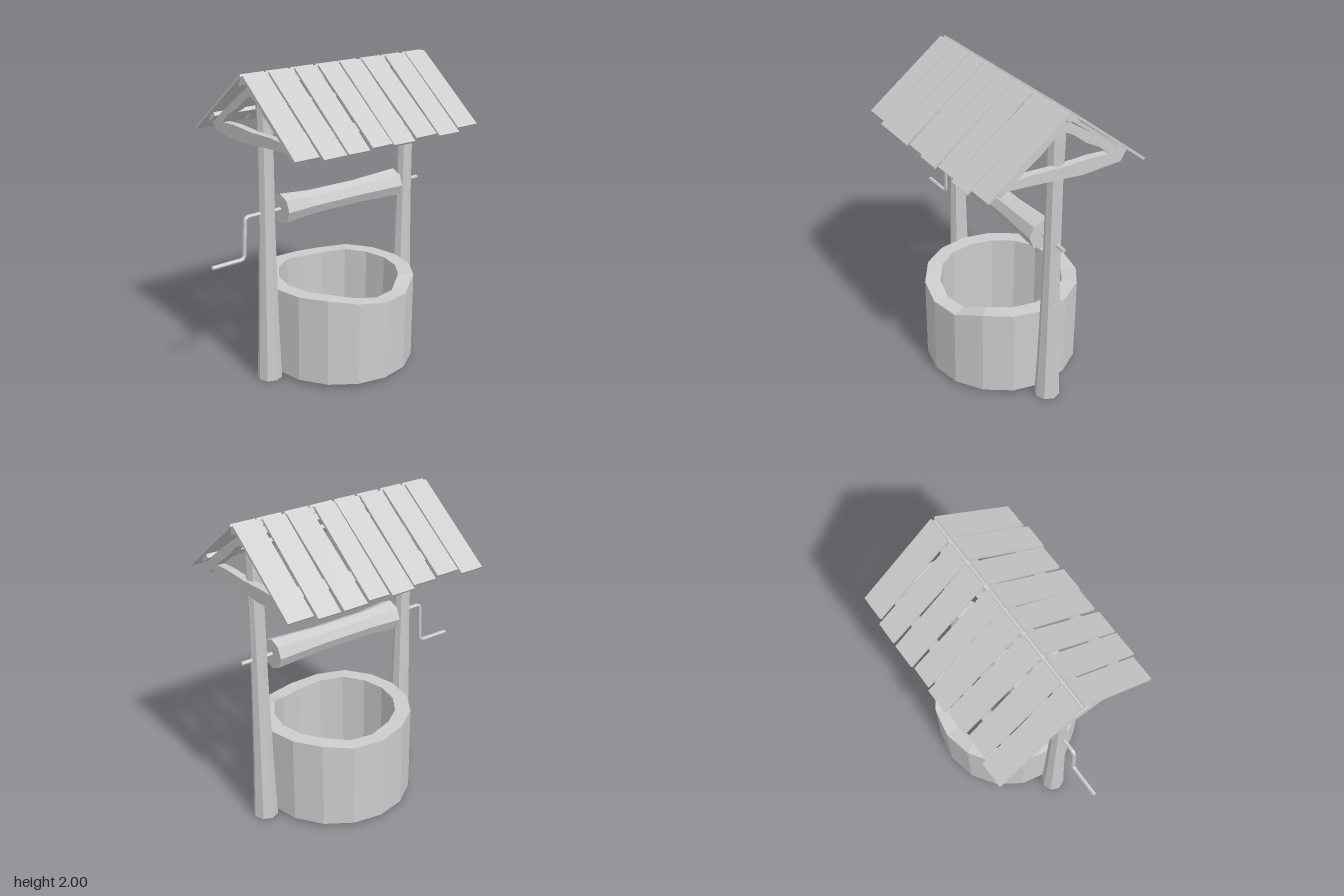
import * as THREE from 'three';

const mat = new THREE.MeshStandardMaterial({ color: 0xcccccc, flatShading: true });
const CX = 0.13; // middle of the well along x

function add(parent, name, geo, x = 0, y = 0, z = 0) {
  const m = new THREE.Mesh(geo, mat);
  m.name = name;
  m.position.set(x, y, z);
  parent.add(m);
  return m;
}

// Solid of revolution from [radius, height] pairs, bottom to top
const lathe = (pts, sides) =>
  new THREE.LatheGeometry(pts.map(([r, y]) => new THREE.Vector2(r, y)), sides);

// Flat timber outlined in (z, y), with thickness along x, starting at x = 0 going to -depth
function timber(pts, depth) {
  const shape = new THREE.Shape(pts.map(([z, y]) => new THREE.Vector2(z, y)));
  return new THREE.ExtrudeGeometry(shape, { depth, bevelEnabled: false }).rotateY(-Math.PI / 2);
}

// Stone ring with a worn, uneven rim
function wellWall() {
  const geo = lathe([[0.4, 0.02], [0.5, 0.02], [0.5, 0.6], [0.4, 0.6], [0.4, 0.02]], 16);
  const dips = { 0: 0.05, 1: 0.05, 15: 0.025, 7: 0.02, 8: 0.02 };
  const p = geo.attributes.position;
  for (let i = 0; i < p.count; i++) {
    if (p.getY(i) < 0.5) continue;
    const seg = (Math.round(Math.atan2(p.getX(i), p.getZ(i)) / (Math.PI / 8)) + 16) % 16;
    p.setY(i, 0.6 - (dips[seg] || 0));
  }
  return geo;
}

// Axle that bends down into the crank handle
function crank() {
  const path = new THREE.CurvePath();
  const V = (x, y) => new THREE.Vector3(x, y, 0);
  path.add(new THREE.LineCurve3(V(0.81, 1.13), V(-0.56, 1.13)));
  path.add(new THREE.QuadraticBezierCurve3(V(-0.56, 1.13), V(-0.587, 1.13), V(-0.59, 1.1)));
  path.add(new THREE.LineCurve3(V(-0.59, 1.1), V(-0.6, 0.89)));
  path.add(new THREE.QuadraticBezierCurve3(V(-0.6, 0.89), V(-0.602, 0.86), V(-0.63, 0.86)));
  path.add(new THREE.LineCurve3(V(-0.63, 0.86), V(-0.83, 0.857)));
  return new THREE.TubeGeometry(path, 140, 0.013, 6, false);
}

// One roof slope: side = 1 is the front, -1 the back
function roofSlope(side, planks) {
  const slope = new THREE.Group();
  const angle = Math.atan2(0.415, 0.535);
  slope.name = side > 0 ? 'frontRoofSlope' : 'backRoofSlope';
  slope.position.set(0, 2, 0.015 * side);
  slope.rotation.x = side * angle;
  planks.forEach(([x0, x1, eave], i) => {
    const len = (eave - 0.015) / Math.cos(angle);
    const plank = add(slope, 'roofPlank', new THREE.BoxGeometry(x1 - x0, 0.016, len),
      (x0 + x1) / 2, -0.008, side * len / 2);
    plank.rotation.y = [0, 0.005, -0.01, 0.006, -0.008, 0.012, -0.01, 0][i];
  });
  // Battens under the planks
  for (const [d, w] of [[0.06, 0.045], [0.49, 0.07]])
    add(slope, 'roofBatten', new THREE.BoxGeometry(1.36, 0.026, w), 0.115, -0.029, side * d);
  return slope;
}

export function createModel() {
  const well = new THREE.Group();
  well.name = 'well';

  add(well, 'wellWall', wellWall(), CX);

  // Posts, flared at the foot
  const postGeo = lathe([[0, 0], [0.08, 0], [0.066, 0.4], [0.053, 1], [0.05, 1.5], [0.056, 1.94], [0, 1.94]], 8);
  for (const s of [-1, 1]) add(well, s > 0 ? 'leftPost' : 'rightPost', postGeo, CX + s * 0.56);

  // Winding drum, waisted in the middle
  const drumGeo = lathe([[0, -0.33], [0.1, -0.33], [0.082, -0.12], [0.08, 0.25], [0.097, 0.595], [0, 0.595]], 8);
  add(well, 'windingDrum', drumGeo.rotateZ(-Math.PI / 2), 0, 1.13);

  // Axle and crank
  add(well, 'axleAndCrank', crank());
  for (const [x, y] of [[0.81, 1.13], [-0.83, 0.857]]) {
    const cap = add(well, 'rodEnd', new THREE.CircleGeometry(0.013, 6), x, y);
    cap.rotation.y = x > 0 ? Math.PI / 2 : -Math.PI / 2;
  }

  // Roof trusses on the outer faces of the posts
  const frontRafter = [[0.4, 1.57], [0.445, 1.63], [0.36, 1.685], [0.2, 1.8], [0, 1.935],
    [0, 1.865], [0.07, 1.835], [0.14, 1.77], [0.24, 1.7]];
  const backRafter = [[0, 1.865], [0, 1.935], [-0.2, 1.8], [-0.435, 1.635],
    [-0.39, 1.585], [-0.25, 1.71], [-0.15, 1.765], [-0.06, 1.835]];
  const tie = [[0.4, 1.6], [0.38, 1.645], [0.2, 1.655], [0, 1.648], [-0.2, 1.655], [-0.38, 1.645],
    [-0.435, 1.62], [-0.41, 1.58], [-0.15, 1.562], [0.05, 1.578], [0.25, 1.592]];
  for (const x of [0.765, -0.47]) {
    const truss = new THREE.Group();
    truss.name = x > 0 ? 'leftTruss' : 'rightTruss';
    add(truss, 'frontRafter', timber(frontRafter, 0.06), x);
    add(truss, 'backRafter', timber(backRafter, 0.06), x);
    add(truss, 'tieBeam', timber(tie, 0.05), x - 0.005);
    well.add(truss);
  }

  // Ridge beam
  add(well, 'ridgeBeam', new THREE.CylinderGeometry(0.026, 0.026, 1.4, 6).rotateZ(Math.PI / 2), 0.115, 1.965);

  // Planks as [x start, x end, eave distance from the ridge line]
  well.add(roofSlope(1, [[-0.59, -0.42, 0.53], [-0.405, -0.24, 0.55], [-0.222, -0.065, 0.55], [-0.043, 0.11, 0.54],
    [0.12, 0.283, 0.55], [0.3, 0.467, 0.535], [0.485, 0.65, 0.55], [0.66, 0.825, 0.525]]));
  well.add(roofSlope(-1, [[-0.59, -0.42, 0.555], [-0.41, -0.247, 0.53], [-0.227, -0.06, 0.54], [-0.045, 0.12, 0.555],
    [0.13, 0.277, 0.545], [0.302, 0.467, 0.555], [0.483, 0.635, 0.555], [0.655, 0.825, 0.535]]));

  return well;
}
